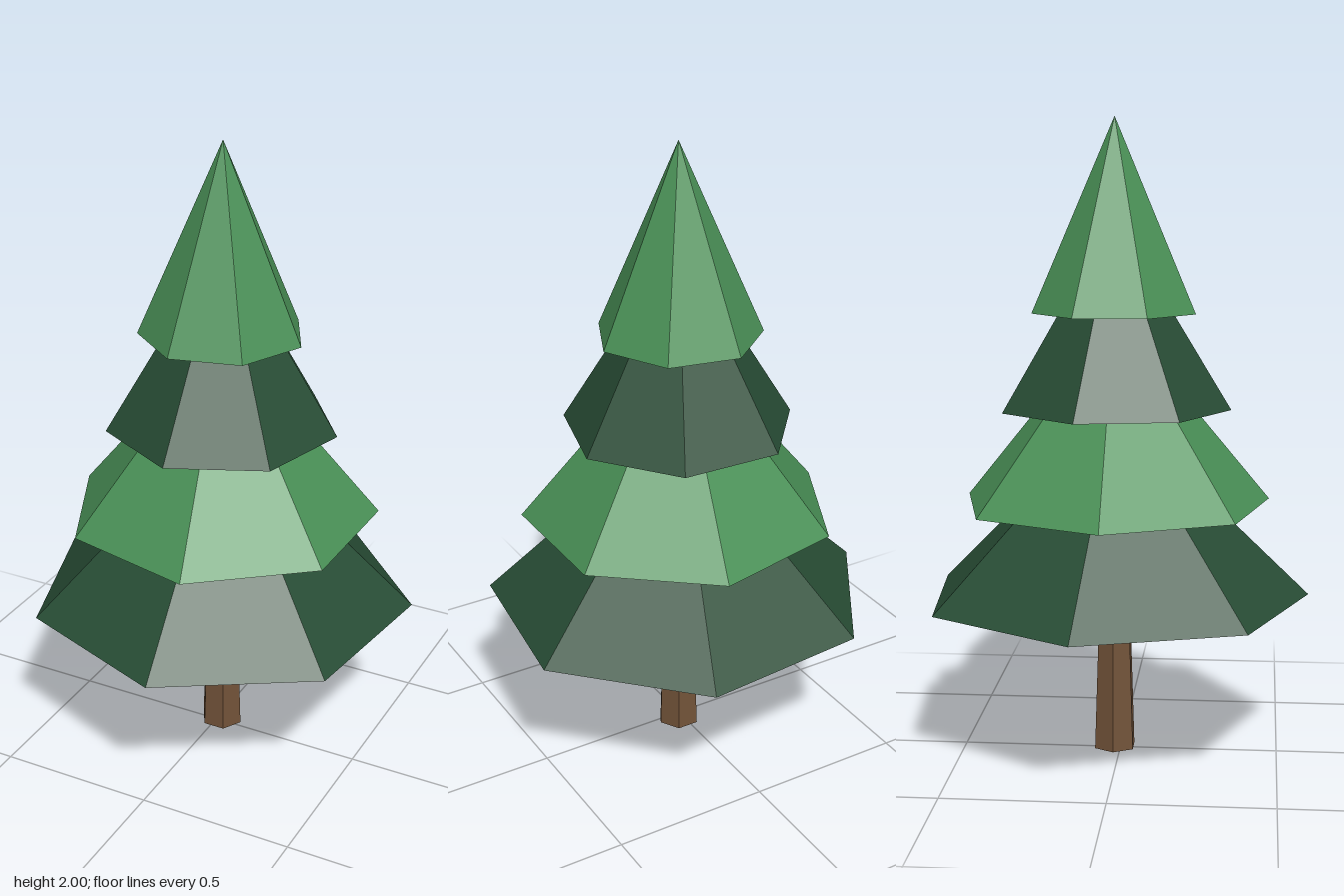
import * as THREE from 'three';

function flatMaterial(name, color) {
  const material = new THREE.MeshStandardMaterial({ color, flatShading: true });
  material.name = name;
  return material;
}

export function createModel() {
  const tree = new THREE.Group();
  tree.name = 'pineTree';

  const lightGreen = flatMaterial('lightGreen', 0x4a9157);
  const darkGreen = flatMaterial('darkGreen', 0x284d35);
  const bark = flatMaterial('barkBrown', 0x725339);

  // All parts share one axis, slightly off the origin
  const add = (name, geometry, material, y) => {
    const mesh = new THREE.Mesh(geometry, material);
    mesh.name = name;
    mesh.position.set(0.012, y, -0.019);
    tree.add(mesh);
  };

  // Tapered six-sided trunk
  add('trunk', new THREE.CylinderGeometry(0.053, 0.07, 0.5, 6, 1, false, Math.PI / 6), bark, 0.25);

  // Four overlapping seven-sided cones, each turned a little
  const height = 0.6;
  const tiers = [
    { name: 'bottomFoliage', base: 0.5, radius: 0.617, turn: 0.094, material: darkGreen },
    { name: 'lowerFoliage', base: 0.8, radius: 0.497, turn: 0.216, material: lightGreen },
    { name: 'upperFoliage', base: 1.1, radius: 0.365, turn: -0.033, material: darkGreen },
    { name: 'topFoliage', base: 1.4, radius: 0.26, turn: -0.204, material: lightGreen },
  ];
  for (const { name, base, radius, turn, material } of tiers) {
    add(name, new THREE.ConeGeometry(radius, height, 7, 1, false, turn), material, base + height / 2);
  }

  return tree;
}
